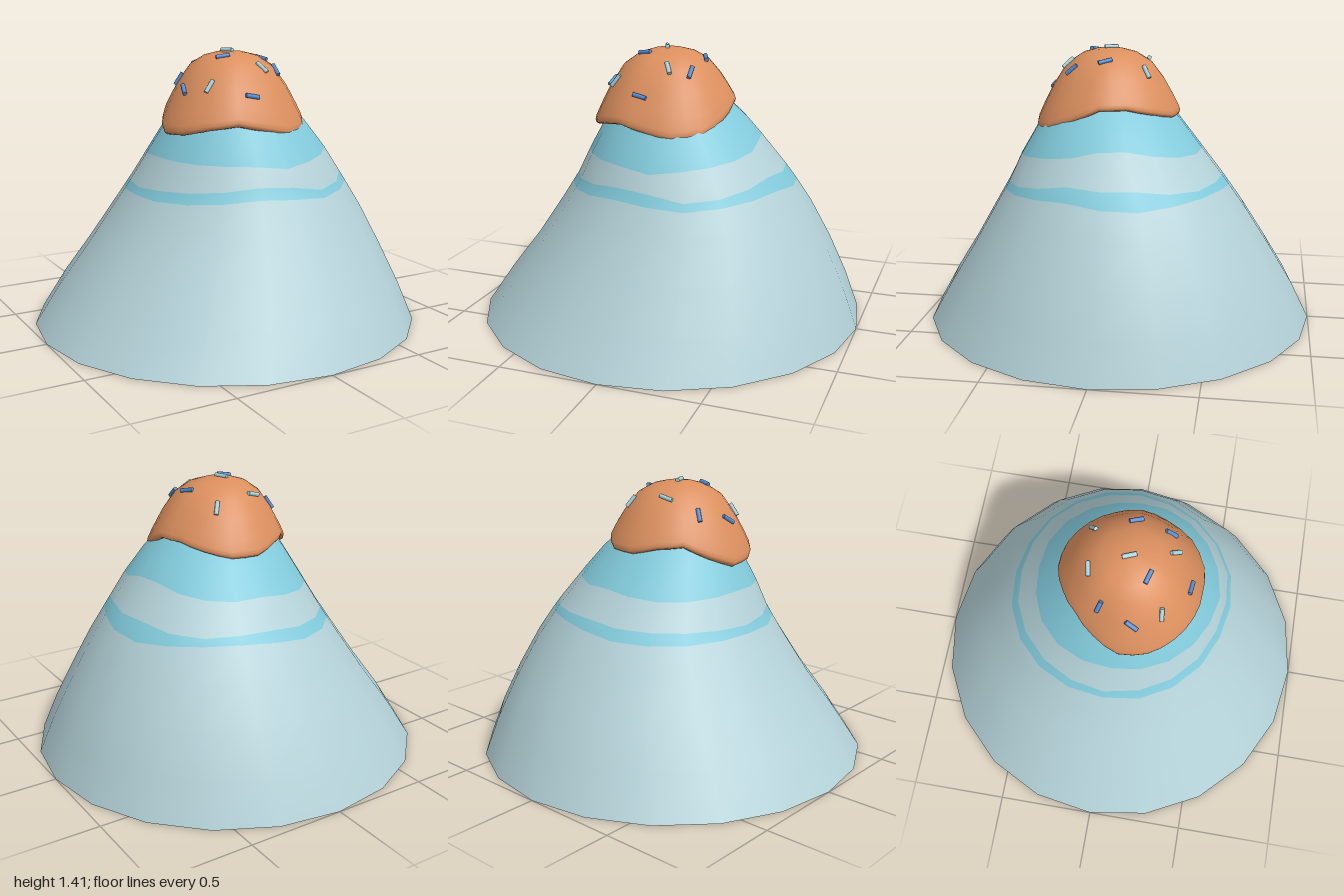
import * as THREE from 'three';

const mat = (name, color, side = THREE.FrontSide) => {
  const m = new THREE.MeshStandardMaterial({ color, side });
  m.name = name;
  return m;
};

// Smooth lookup in a table of equally spaced values around a full turn (0 = +z, then towards +x)
function around(table, angle) {
  const n = table.length;
  const t = ((angle / (2 * Math.PI)) % 1 + 1) % 1 * n;
  const i = Math.floor(t) % n, f = t - Math.floor(t);
  return THREE.MathUtils.lerp(table[i], table[(i + 1) % n], f * f * (3 - 2 * f));
}

// Linear lookup in rows of [key, ...values], keys ascending
function along(rows, key) {
  let i = 0;
  while (i < rows.length - 2 && key > rows[i + 1][0]) i++;
  const a = rows[i], b = rows[i + 1];
  const f = THREE.MathUtils.clamp((key - a[0]) / (b[0] - a[0]), 0, 1);
  return a.map((v, k) => THREE.MathUtils.lerp(v, b[k], f));
}

// Closed rings joined from bottom to top; rowMaterial gives a material index per row
function loft(rows, sides, point, rowMaterial) {
  const pos = [], index = [];
  const g = new THREE.BufferGeometry();
  for (let r = 0; r < rows; r++)
    for (let s = 0; s < sides; s++) pos.push(...point(r, (s / sides) * 2 * Math.PI));
  for (let r = 0; r < rows - 1; r++) {
    g.addGroup(index.length, sides * 6, rowMaterial ? rowMaterial[r] : 0);
    for (let s = 0; s < sides; s++) {
      const a = r * sides + s, b = r * sides + (s + 1) % sides;
      index.push(a, b, b + sides, a, b + sides, a + sides);
    }
  }
  g.setAttribute('position', new THREE.Float32BufferAttribute(pos, 3));
  g.setIndex(index);
  g.computeVertexNormals();
  return g;
}

// Mountain: height, centre x, centre z, radius
const SLOPE = [
  [0, 0, 0, 1], [0.2, 0.03, -0.01, 0.895], [0.4, 0.06, -0.015, 0.773],
  [0.6, 0.075, -0.01, 0.652], [0.75, 0.075, 0, 0.555], [0.9, 0.06, 0.025, 0.462],
  [1.05, 0.04, 0.04, 0.357], [1.2, 0.02, 0.05, 0.22], [1.3, 0, 0.05, 0.06],
];
// Wavy edges of the painted bands, every 22.5 degrees
const STRIPE_LOW = [0.72, 0.705, 0.725, 0.745, 0.725, 0.715, 0.735, 0.74,
  0.725, 0.70, 0.69, 0.695, 0.70, 0.695, 0.705, 0.73];
const STRIPE_HIGH = [0.775, 0.74, 0.765, 0.81, 0.80, 0.80, 0.765, 0.775,
  0.775, 0.755, 0.745, 0.74, 0.735, 0.745, 0.755, 0.785];
const BAND_LOW = [0.86, 0.88, 0.90, 0.925, 0.96, 0.96, 0.92, 0.905,
  0.91, 0.89, 0.87, 0.88, 0.89, 0.885, 0.88, 0.88];

// Icing cap: outline radius and hem height, every 22.5 degrees
const CAP_Z = 0.05, CAP_TOP = 1.4;
const CAP_RADIUS = [0.36, 0.38, 0.385, 0.36, 0.345, 0.335, 0.35, 0.365,
  0.36, 0.335, 0.325, 0.34, 0.37, 0.375, 0.37, 0.365];
const CAP_HEM = [1.03, 1.0, 1.01, 1.07, 1.13, 1.13, 1.1, 1.07,
  1.07, 1.1, 1.11, 1.05, 1.0, 1.01, 1.04, 1.06];
// Dome section: share of the radius, share of the height
const DOME = [[0, 1], [0.2, 0.985], [0.4, 0.925], [0.6, 0.79], [0.78, 0.53],
  [0.92, 0.26], [0.985, 0.12], [1, 0.06]];
const CAP_ROWS = [[0.84, 0.03], [0.95, 0], [0.99, 0.02], ...DOME.slice().reverse()];

function capPoint(angle, [share, height]) {
  const r = around(CAP_RADIUS, angle) * share;
  const hem = around(CAP_HEM, angle);
  return [Math.sin(angle) * r, hem + (CAP_TOP - hem) * height, CAP_Z + Math.cos(angle) * r];
}

// Point on the cap straight above a plan position
function onCap(x, z) {
  const angle = Math.atan2(x, z - CAP_Z);
  const share = Math.hypot(x, z - CAP_Z) / around(CAP_RADIUS, angle);
  return new THREE.Vector3(x, capPoint(angle, along(DOME, share))[1], z);
}

export function createModel() {
  const model = new THREE.Group();
  model.name = 'icedMountain';
  const slopeMat = mat('paleBlueGrey', 0xb3d1d7, THREE.DoubleSide);
  const bandMat = mat('skyBlue', 0x82cadb, THREE.DoubleSide);
  const capMat = mat('caramel', 0xdb8f5e, THREE.DoubleSide);
  const blueMat = mat('blueSprinkle', 0x5590d6);
  const paleMat = mat('paleSprinkle', 0xa9d6e0);

  // Hollow mountain with its painted bands
  const rings = [0, 0.2, 0.4, 0.6, STRIPE_LOW, STRIPE_HIGH, BAND_LOW, 1.05, 1.2, 1.3];
  const mountain = new THREE.Mesh(loft(rings.length, 20, (r, angle) => {
    const y = Array.isArray(rings[r]) ? around(rings[r], angle) : rings[r];
    const [, cx, cz, radius] = along(SLOPE, y);
    return [cx + Math.sin(angle) * radius, y, cz + Math.cos(angle) * radius];
  }, [0, 0, 0, 0, 1, 0, 1, 1, 1]), [slopeMat, bandMat]);
  mountain.name = 'mountain';
  model.add(mountain);

  // Icing cap with a rolled, wavy hem
  const cap = new THREE.Mesh(
    loft(CAP_ROWS.length, 32, (r, angle) => capPoint(angle, CAP_ROWS[r])), capMat);
  cap.name = 'icingCap';
  model.add(cap);

  // Sprinkles: x, z, plan direction x and z, material
  const sprinkles = [
    [-0.08, -0.135, 1, -0.2, paleMat], [0.14, -0.15, 1, -1.1, paleMat],
    [-0.225, -0.06, 1, 0.6, blueMat], [-0.28, 0.1, -0.3, 1, blueMat],
    [-0.01, 0.045, 0.4, 1, paleMat], [0.19, 0.045, 0.45, 1, blueMat],
    [-0.09, 0.145, 1, 0.3, blueMat], [-0.21, 0.23, 1, -0.15, paleMat],
    [0.07, 0.25, 0.7, 1, paleMat], [0.17, 0.215, 0, 1, blueMat],
    [-0.04, 0.345, 1, 0.1, blueMat],
  ];
  const rod = new THREE.CylinderGeometry(0.011, 0.011, 0.07, 8);
  const up = new THREE.Vector3(0, 1, 0);
  for (const [x, z, dx, dz, material] of sprinkles) {
    const k = 0.025 / Math.hypot(dx, dz);
    const a = onCap(x - dx * k, z - dz * k), b = onCap(x + dx * k, z + dz * k);
    const sprinkle = new THREE.Mesh(rod, material);
    sprinkle.name = 'sprinkle';
    sprinkle.position.copy(a).add(b).multiplyScalar(0.5);
    const out = sprinkle.position.clone().sub(new THREE.Vector3(0, 1.05, CAP_Z)).normalize();
    sprinkle.position.addScaledVector(out, 0.006);
    sprinkle.quaternion.setFromUnitVectors(up, b.sub(a).normalize());
    model.add(sprinkle);
  }
  return model;
}
